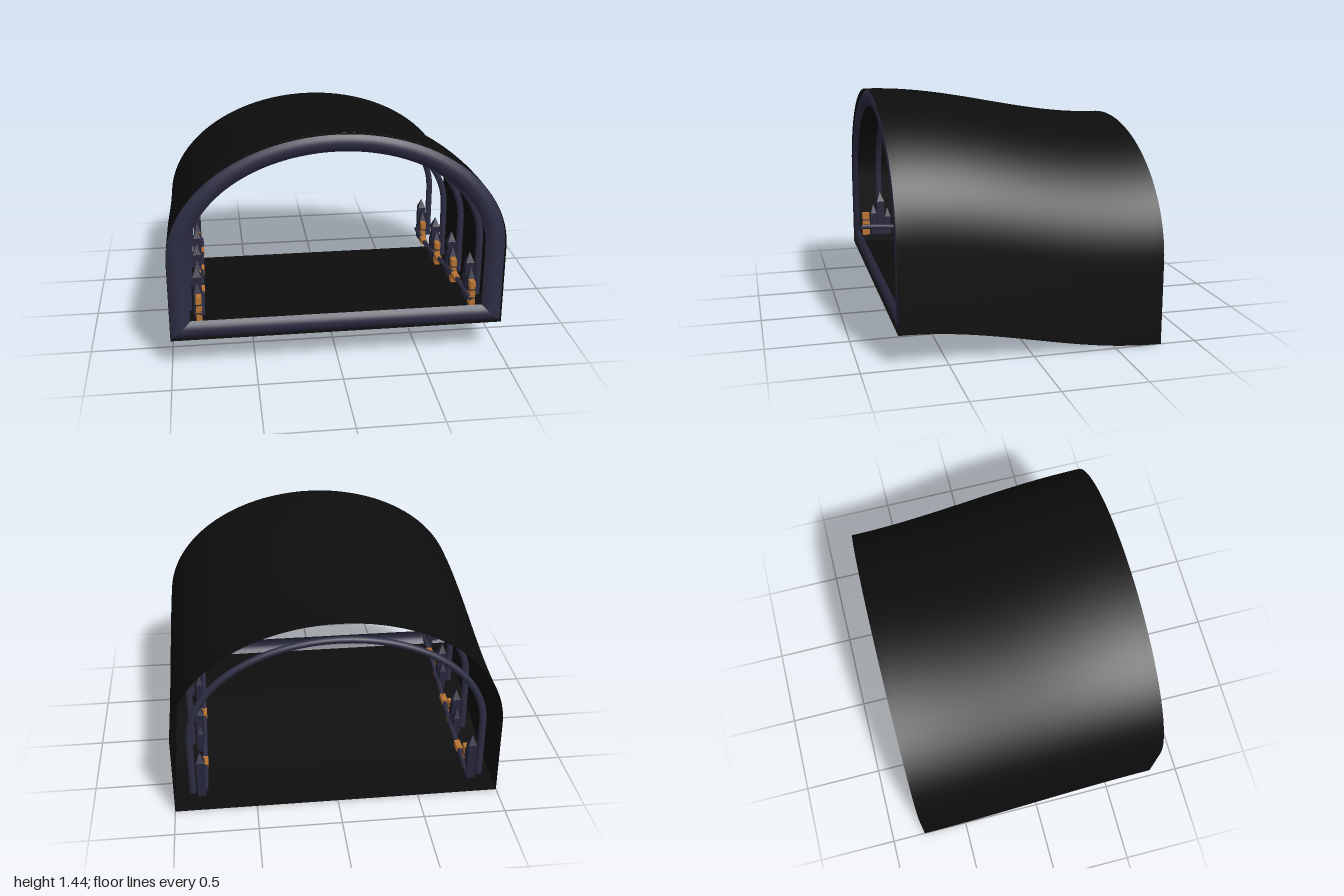
import * as THREE from 'three';

const HALF = 0.785; // half of the tunnel length
const mat = (name, color, side = THREE.FrontSide) => {
  const m = new THREE.MeshStandardMaterial({ color, side });
  m.name = name;
  return m;
};

// The whole tunnel rises along a soft S-curve towards the front
const rise = (z) => 0.1 + 0.1 * Math.sin((Math.PI / 2) * Math.max(-1, Math.min(1, z / HALF)));

// Arch outline: straight walls below a half ellipse; from +x foot to -x foot
function archPoints(w, foot, top, segs = 48) {
  const spring = 0.5, pts = [];
  for (let i = 0; i < 6; i++) pts.push([w, foot + (spring - foot) * (i / 6)]);
  for (let i = 0; i <= segs; i++) {
    const a = (Math.PI * i) / segs;
    pts.push([w * Math.cos(a), spring + (top - spring) * Math.sin(a)]);
  }
  for (let i = 5; i >= 0; i--) pts.push([-w, foot + (spring - foot) * (i / 6)]);
  return pts;
}

// Smooth surface over a grid of points
function gridSurface(rows, cols, point) {
  const pos = [], idx = [];
  for (let r = 0; r <= rows; r++) for (let c = 0; c <= cols; c++) pos.push(...point(r, c));
  for (let r = 0; r < rows; r++) {
    for (let c = 0; c < cols; c++) {
      const a = r * (cols + 1) + c, b = a + cols + 1;
      idx.push(a, a + 1, b, a + 1, b + 1, b);
    }
  }
  const g = new THREE.BufferGeometry();
  g.setAttribute('position', new THREE.Float32BufferAttribute(pos, 3));
  g.setIndex(idx);
  g.computeVertexNormals();
  return g;
}

export function createModel() {
  const model = new THREE.Group();
  model.name = 'tunnel';
  const black = mat('shell black', 0x0d0d0e, THREE.DoubleSide);
  const navy = mat('trim navy', 0x2d2d44, THREE.DoubleSide);
  const slate = mat('spire navy', 0x26263b);
  const copper = mat('copper', 0xb87333);

  const add = (parent, name, geo, m, x = 0, y = 0, z = 0) => {
    const mesh = new THREE.Mesh(geo, m);
    mesh.name = name;
    mesh.position.set(x, y, z);
    parent.add(mesh);
    return mesh;
  };

  // Shell: vault and floor
  const N = 32;
  const zAt = (r) => -HALF + (2 * HALF * r) / N;
  const outer = archPoints(1, 0, 1.24);
  const inner = archPoints(0.88, 0.11, 1.13);
  add(model, 'vault', gridSurface(N, outer.length - 1, (r, c) =>
    [outer[c][0], outer[c][1] + rise(zAt(r)), zAt(r)]), black);
  add(model, 'floor', gridSurface(N, 8, (r, c) =>
    [-1 + c / 4, rise(zAt(r)), zAt(r)]), black);

  // Rounded frame around the front opening, with mitred lower corners
  const frame = (a, b) => gridSurface(8, a.length - 1, (r, c) => {
    const t = r / 8;
    return [
      a[c][0] + (b[c][0] - a[c][0]) * t,
      0.2 + a[c][1] + (b[c][1] - a[c][1]) * t,
      HALF - 0.03 * (2 * t - 1) ** 2,
    ];
  });
  add(model, 'frontArchFrame', frame(outer, inner), navy);
  add(model, 'frontSill', frame([[-1, 0], [1, 0]], [[-0.88, 0.11], [0.88, 0.11]]), navy);

  // Ribs inside the vault
  const ribZ = [-0.755, -0.3, 0.155, 0.61];
  for (const z of ribZ) {
    const path = new THREE.CatmullRomCurve3(
      archPoints(0.885, 0.12, 1.12, 24).map(([x, y]) => new THREE.Vector3(x, y + rise(z), z)));
    add(model, 'rib', new THREE.TubeGeometry(path, 80, 0.021, 10), navy);
  }

  // Pointed pillar with a four-sided tip, standing at the given height
  const pillar = (parent, x, y, z, w, h) => {
    const tip = 0.065;
    add(parent, 'pillar', new THREE.BoxGeometry(w, h - tip, w), slate, x, y + (h - tip) / 2, z);
    const cone = new THREE.ConeGeometry(w / Math.SQRT2, tip, 4, 1).rotateY(Math.PI / 4).toNonIndexed();
    cone.computeVertexNormals();
    add(parent, 'pillarTip', cone, slate, x, y + h - tip / 2, z);
  };

  for (const s of [-1, 1]) {
    const side = new THREE.Group();
    side.name = s > 0 ? 'leftFittings' : 'rightFittings';
    model.add(side);

    // Rail following the slope
    const railPath = [];
    for (let i = 0; i <= 12; i++) {
      const z = -HALF + 0.005 + (i / 12) * (2 * HALF - 0.04);
      railPath.push(new THREE.Vector3(s * 0.805, 0.155 + rise(z), z));
    }
    add(side, 'rail', new THREE.TubeGeometry(new THREE.CatmullRomCurve3(railPath), 40, 0.016, 8), navy);

    for (const z of ribZ) {
      const y = 0.1 + rise(z);
      // Spire cluster
      pillar(side, s * 0.83, y, z, 0.052, 0.305);
      pillar(side, s * 0.83, y, z + 0.05, 0.042, 0.22);
      if (z > -0.7) pillar(side, s * 0.83, y, z - 0.05, 0.042, 0.19);
      // Copper lamp with dark bands
      add(side, 'lamp', new THREE.BoxGeometry(0.034, 0.16, 0.05), copper, s * 0.825, y + 0.08, z + 0.105);
      for (const h of [0.055, 0.11]) {
        add(side, 'lampBand', new THREE.BoxGeometry(0.038, 0.008, 0.054), slate, s * 0.825, y + h, z + 0.105);
      }
    }
    // Copper sleeves on the rail between the ribs
    for (const z of [-0.53, -0.08, 0.4]) {
      add(side, 'railSleeve', new THREE.BoxGeometry(0.036, 0.036, 0.08), copper, s * 0.805, 0.157 + rise(z), z);
    }
  }
  return model;
}
